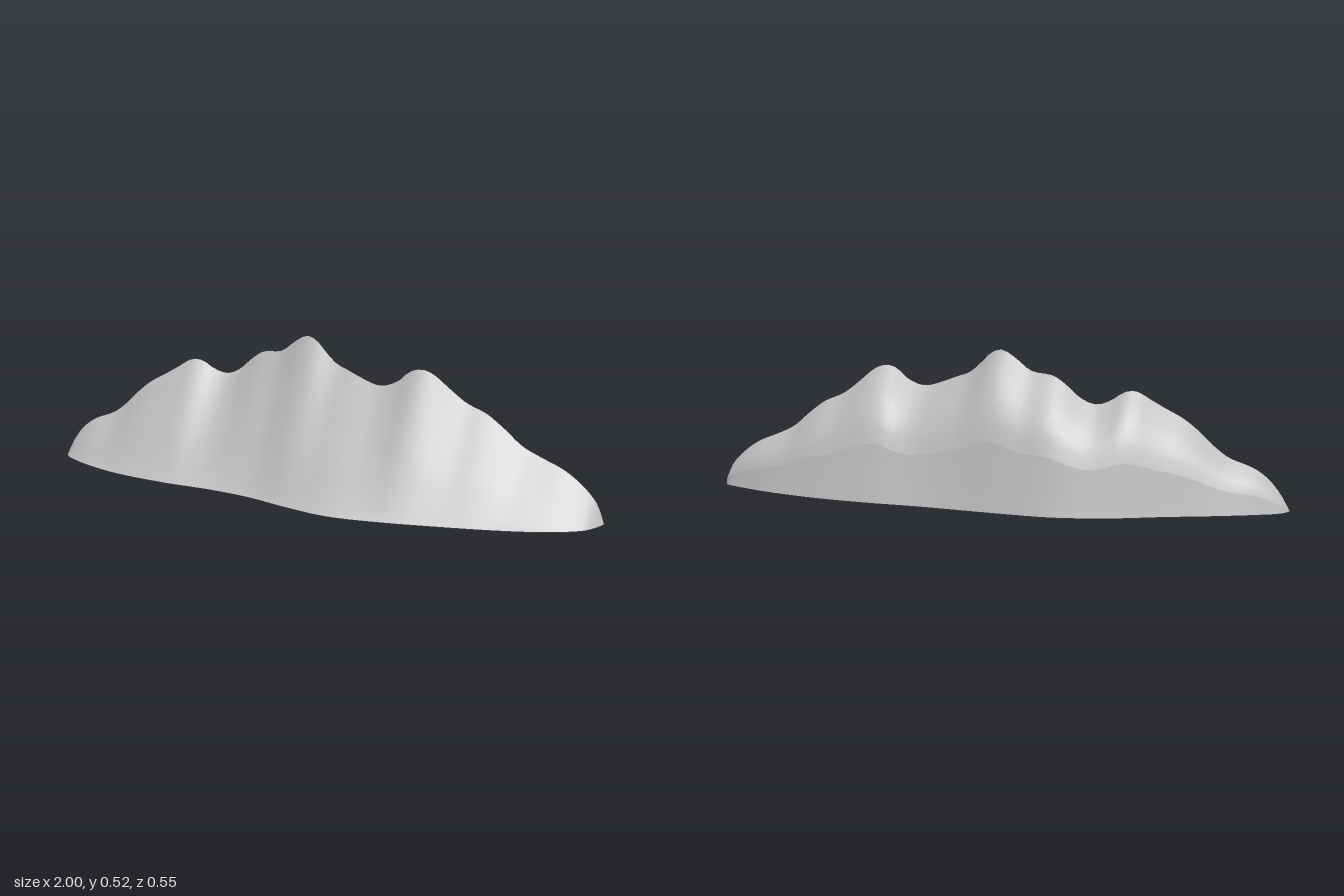
import * as THREE from 'three';

// Plan and skyline curves as x, value pairs
const skyline = [-1, 0, -0.97, 0.055, -0.93, 0.105, -0.88, 0.142, -0.8, 0.175, -0.75, 0.213, -0.7, 0.262,
  -0.65, 0.302, -0.6, 0.33, -0.55, 0.36, -0.5, 0.39, -0.46, 0.386, -0.42, 0.36, -0.37, 0.346, -0.32, 0.366,
  -0.28, 0.402, -0.23, 0.436, -0.15, 0.45, -0.1, 0.487, -0.05, 0.515, -0.01, 0.505, 0.03, 0.468, 0.07, 0.435,
  0.12, 0.417, 0.18, 0.395, 0.24, 0.381, 0.3, 0.402, 0.34, 0.438, 0.38, 0.449, 0.42, 0.435, 0.47, 0.393,
  0.53, 0.348, 0.6, 0.318, 0.66, 0.275, 0.72, 0.225, 0.78, 0.196, 0.85, 0.168, 0.9, 0.138, 0.95, 0.095,
  0.98, 0.055, 1, 0];
const frontFoot = [-1, 0, -0.98, 0.037, -0.95, 0.062, -0.85, 0.11, -0.7, 0.155, -0.5, 0.18, -0.3, 0.186, -0.15, 0.206,
  0, 0.246, 0.15, 0.274, 0.3, 0.264, 0.5, 0.23, 0.7, 0.187, 0.85, 0.14, 0.95, 0.085, 0.98, 0.045, 1, 0.005];
const backFoot = [-1, 0, -0.98, -0.033, -0.95, -0.057, -0.8, -0.12, -0.6, -0.187, -0.45, -0.243, -0.3, -0.274,
  -0.2, -0.275, 0, -0.25, 0.2, -0.222, 0.4, -0.205, 0.6, -0.173, 0.8, -0.115, 0.95, -0.05, 0.98, -0.03, 1, 0];
const ridgeLine = [-1, 0, -0.8, -0.02, -0.6, -0.045, -0.45, -0.08, -0.3, -0.095, -0.2, -0.087, 0, -0.047,
  0.2, -0.006, 0.35, 0, 0.5, -0.018, 0.65, -0.016, 0.8, -0.012, 1, 0.003];

// Cross-section: share of the way from ridge to foot, share of the ridge height
const frontProfile = [[1, 0], [0.87, 0.1], [0.7, 0.28], [0.53, 0.45], [0.29, 0.69], [0.14, 0.85], [0, 1]];
const upperBackProfile = [[0, 1], [0.18, 0.92], [0.37, 0.84], [0.54, 0.75], [0.69, 0.65], [0.78, 0.55], [0.85, 0.44]];
const lowerBackProfile = [[0.85, 0.44], [0.92, 0.22], [1, 0]];

// Smooth lookup through a list of pairs
function sample(list, x) {
  const n = list.length / 2;
  const X = (i) => list[2 * i];
  const Y = (i) => list[2 * i + 1];
  let i = 0;
  while (i < n - 2 && x > X(i + 1)) i++;
  const slope = (k) => {
    const a = Math.max(k - 1, 0), b = Math.min(k + 1, n - 1);
    return (Y(b) - Y(a)) / (X(b) - X(a));
  };
  const w = X(i + 1) - X(i), t = (x - X(i)) / w, t2 = t * t, t3 = t2 * t;
  return (2 * t3 - 3 * t2 + 1) * Y(i) + (t3 - 2 * t2 + t) * w * slope(i)
    + (3 * t2 - 2 * t3) * Y(i + 1) + (t3 - t2) * w * slope(i + 1);
}

const COLUMNS = 112;
const stationX = (i) => {
  const u = (2 * i) / COLUMNS - 1;
  return u + 0.25 * Math.sin(Math.PI * u) / Math.PI; // closer together at the tips
};

// Skin between rows; point(x, row) gives [y, z]
function skin(rows, point) {
  const positions = [], index = [];
  for (let i = 0; i <= COLUMNS; i++) {
    const x = stationX(i);
    for (let j = 0; j < rows; j++) positions.push(x, ...point(x, j));
  }
  for (let i = 0; i < COLUMNS; i++) {
    for (let j = 0; j < rows - 1; j++) {
      const a = i * rows + j, b = a + rows;
      index.push(a, b, b + 1, a, b + 1, a + 1);
    }
  }
  const geometry = new THREE.BufferGeometry();
  geometry.setAttribute('position', new THREE.Float32BufferAttribute(positions, 3));
  geometry.setIndex(index);
  geometry.computeVertexNormals();
  return geometry;
}

function slope(profile, foot) {
  return skin(profile.length, (x, j) => {
    const [out, up] = profile[j];
    const ridge = sample(ridgeLine, x);
    return [Math.max(0, sample(skyline, x)) * up, ridge + (sample(foot, x) - ridge) * out];
  });
}

export function createModel() {
  const group = new THREE.Group();
  group.name = 'mountainRidge';
  const rock = new THREE.MeshStandardMaterial({ color: 0xc0c0c0 });
  rock.name = 'grey rock';
  const add = (name, geometry) => {
    const mesh = new THREE.Mesh(geometry, rock);
    mesh.name = name;
    group.add(mesh);
  };

  // Separate skins keep the ridge, the back shoulder and the base edge sharp
  add('frontSlope', slope(frontProfile, frontFoot));
  add('upperBackSlope', slope(upperBackProfile, backFoot));
  add('lowerBackWall', slope(lowerBackProfile, backFoot));
  add('base', skin(2, (x, j) => [0, sample(j ? frontFoot : backFoot, x)]));
  return group;
}
